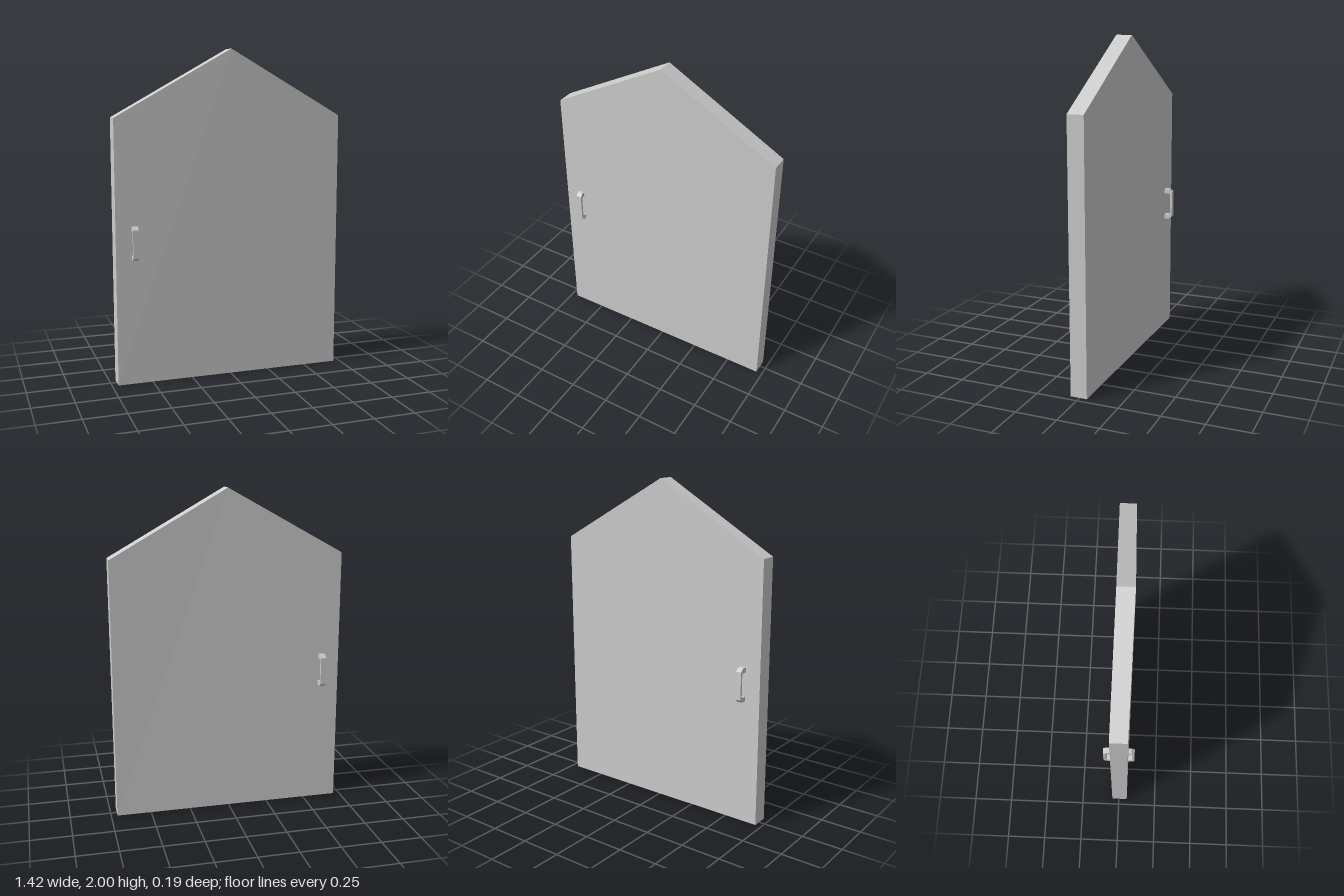
import * as THREE from 'three';

const grey = new THREE.MeshStandardMaterial({ color: 0xcccccc });
grey.name = 'light grey';

// Gabled slab whose peak leans slightly forward
function makePanel() {
  const w = 0.712, eave = 1.6, lean = 0.012;
  const outline = [[0, 2], [-w, eave], [-w, 0], [w, 0], [w, eave]];
  const at = ([x, y], z) => [x, y, z + (y === 2 ? lean : 0)];
  const front = outline.map((p) => at(p, 0.055));
  const back = outline.map((p) => at(p, -0.045));
  const pos = [];
  // front and back faces fan out from the peak
  for (let i = 1; i < 4; i++) {
    pos.push(...front[0], ...front[i], ...front[i + 1]);
    pos.push(...back[0], ...back[i + 1], ...back[i]);
  }
  // edges
  for (let i = 0; i < 5; i++) {
    const j = (i + 1) % 5;
    pos.push(...front[i], ...back[i], ...back[j]);
    pos.push(...front[i], ...back[j], ...front[j]);
  }
  const geo = new THREE.BufferGeometry();
  geo.setAttribute('position', new THREE.Float32BufferAttribute(pos, 3));
  geo.computeVertexNormals();
  return geo;
}

// Bracket handle with chamfered corners: side profile extruded across its width
function makeHandle() {
  const width = 0.034;
  const shape = new THREE.Shape([
    [0.03, 0.76], [0.075, 0.76], [0.095, 0.778], [0.095, 0.947], [0.075, 0.965],
    [0.03, 0.965], [0.03, 0.935], [0.075, 0.935], [0.081, 0.927],
    [0.081, 0.798], [0.075, 0.79], [0.03, 0.79],
  ].map(([z, y]) => new THREE.Vector2(z, y)));
  const geo = new THREE.ExtrudeGeometry(shape, { depth: width, bevelEnabled: false });
  geo.translate(0, 0, -width / 2);
  geo.rotateY(-Math.PI / 2);
  return geo;
}

export function createModel() {
  const group = new THREE.Group();
  group.name = 'door';

  const panel = new THREE.Mesh(makePanel(), grey);
  panel.name = 'doorPanel';
  group.add(panel);

  // one handle on each side
  const handleGeo = makeHandle();
  for (const [name, turn] of [['frontHandle', 0], ['backHandle', Math.PI]]) {
    const handle = new THREE.Mesh(handleGeo, grey);
    handle.name = name;
    handle.position.x = -0.599;
    handle.rotation.y = turn;
    group.add(handle);
  }
  return group;
}
